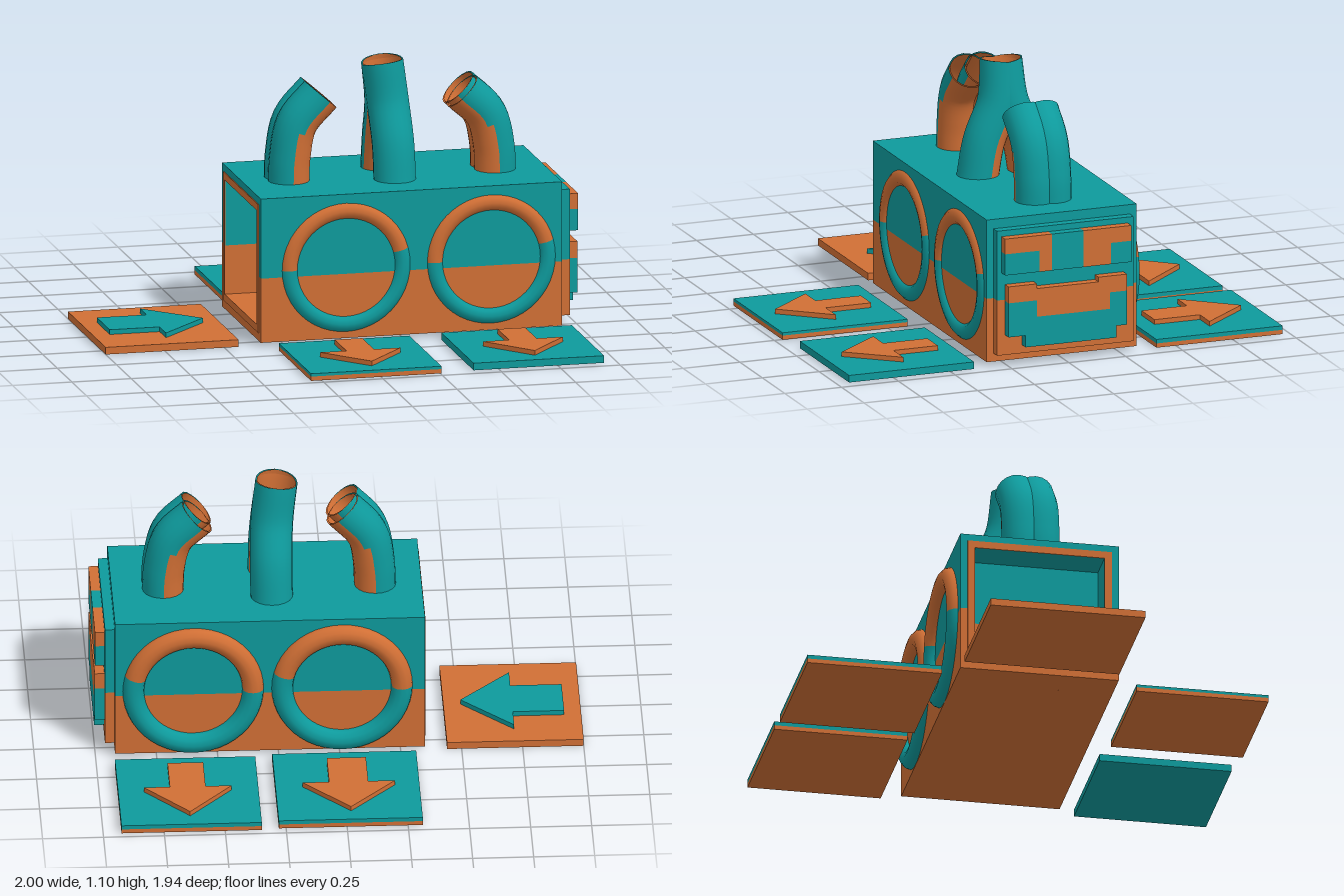
import * as THREE from 'three';

const SPLIT = 0.285; // height where the two body colours meet

export function createModel() {
  const model = new THREE.Group();
  model.name = 'machine';
  const teal = new THREE.MeshStandardMaterial({ color: 0x0e9a9c, side: THREE.DoubleSide });
  teal.name = 'teal';
  const orange = new THREE.MeshStandardMaterial({ color: 0xd06f35, side: THREE.DoubleSide });
  orange.name = 'orange';

  const add = (name, geometry, material) => {
    const mesh = new THREE.Mesh(geometry, material);
    mesh.name = name;
    model.add(mesh);
    return mesh;
  };
  // Box given by its two corners
  const box = (name, mat, x0, x1, y0, y1, z0, z1) => {
    const mesh = add(name, new THREE.BoxGeometry(x1 - x0, y1 - y0, z1 - z0), mat);
    mesh.position.set((x0 + x1) / 2, (y0 + y1) / 2, (z0 + z1) / 2);
    return mesh;
  };
  // Sorts faces into two colour groups; test(centre, normal) true means the second colour
  const paint = (geo, test) => {
    const p = geo.attributes.position, idx = geo.index.array, sides = [[], []];
    const v = [0, 1, 2].map(() => new THREE.Vector3());
    const c = new THREE.Vector3(), n = new THREE.Vector3(), tri = new THREE.Triangle();
    for (let i = 0; i < idx.length; i += 3) {
      v.forEach((q, k) => q.fromBufferAttribute(p, idx[i + k]));
      tri.set(v[0], v[1], v[2]);
      tri.getMidpoint(c);
      tri.getNormal(n);
      sides[test(c, n) ? 1 : 0].push(idx[i], idx[i + 1], idx[i + 2]);
    }
    geo.setIndex([...sides[0], ...sides[1]]);
    geo.clearGroups();
    geo.addGroup(0, sides[0].length, 0);
    geo.addGroup(sides[0].length, sides[1].length, 1);
    return geo;
  };

  // Body: orange lower half, teal upper half, with an open recess in the -x end
  const halves = [
    ['lower', orange, 0.015, SPLIT, 0.015, 0.08],
    ['upper', teal, SPLIT, 0.62, 0.56, 0.62],
  ];
  for (const [part, mat, y0, y1, edge0, edge1] of halves) {
    box(part + 'Body', mat, -0.21, 0.92, y0, y1, -0.33, 0.33);
    box(part + 'RecessEdge', mat, -0.35, -0.21, edge0, edge1, -0.27, 0.27);
    for (const s of [-1, 1]) {
      box(part + 'RecessWall', mat, -0.35, -0.21, y0, y1, Math.min(s * 0.27, s * 0.33), Math.max(s * 0.27, s * 0.33));
    }
    box(part + 'EndPlate', mat, 0.92, 0.96, Math.max(y0, 0.05), Math.min(y1, 0.58), -0.3, 0.3);
  }
  // Thin orange trim around the recess
  for (const s of [-1, 1]) {
    box('recessTrimSide', orange, -0.354, -0.35, 0.05, 0.59, s * 0.285 - 0.015, s * 0.285 + 0.015);
  }
  box('recessTrimTop', orange, -0.354, -0.35, 0.56, 0.59, -0.27, 0.27);
  box('recessTrimBottom', orange, -0.354, -0.35, 0.05, 0.08, -0.27, 0.27);

  // Blocky panels on the +x end: [colour, y0, y1, z0, z1]
  const panels = [
    [orange, 0.49, 0.555, 0.13, 0.28],
    [teal, 0.4, 0.49, 0.13, 0.28],
    [orange, 0.4, 0.555, 0.075, 0.13],
    [teal, 0.4, 0.555, -0.065, 0.075],
    [orange, 0.4, 0.555, -0.185, -0.065],
    [orange, 0.49, 0.555, -0.275, -0.185],
    [teal, 0.4, 0.49, -0.275, -0.185],
    [orange, 0.28, 0.35, 0.14, 0.265],
    [orange, 0.21, 0.33, -0.13, 0.14],
    [orange, 0.28, 0.35, -0.255, -0.13],
    [orange, 0.21, 0.28, -0.18, -0.13],
    [teal, 0.135, 0.28, 0.14, 0.265],
    [teal, 0.135, 0.21, -0.18, 0.14],
    [teal, 0.135, 0.28, -0.255, -0.18],
    [teal, 0.085, 0.135, -0.21, 0.19],
  ];
  panels.forEach(([mat, ...r]) => box('endPanel', mat, 0.96, 1, ...r));

  // Round rims on the front and back walls
  const rims = [
    [0.01, 0.312, 0.31, 0.238, 0.038],
    [0.622, 0.312, 0.31, 0.238, 0.038],
    [-0.01, 0.305, -0.325, 0.245, 0.045],
    [0.6, 0.305, -0.325, 0.245, 0.045],
  ];
  for (const [x, y, z, radius, tube] of rims) {
    const geo = paint(new THREE.TorusGeometry(radius, tube, 12, 48), (c) => c.y > 0.035 + 0.13 * c.x);
    add(z > 0 ? 'frontRim' : 'backRim', geo, [teal, orange]).position.set(x, y, z);
  }

  // Open pipes, teal outside and orange inside; inward(c, n) marks the orange outer faces
  const pipe = (name, points, radius, inward) => {
    const curve = new THREE.CatmullRomCurve3(points.map((p) => new THREE.Vector3(...p)));
    add(name, paint(new THREE.TubeGeometry(curve, 16, radius, 20), inward), [teal, orange]);
    add(name + 'Lining', new THREE.TubeGeometry(curve, 16, radius * 0.93, 20), orange);
  };
  // Side pipes: overlapping twin tubes bending toward the middle
  for (const z of [-0.035, 0.035]) {
    pipe('rightPipe',
      [[-0.16, 0.6, z], [-0.155, 0.72, z], [-0.125, 0.86, z], [-0.025, 0.975, z]],
      0.085, (c, n) => n.x > 0.15);
    pipe('leftPipe',
      [[0.71, 0.6, z], [0.705, 0.72, z], [0.67, 0.855, z], [0.57, 0.955, z]],
      0.085, (c, n) => n.x < -0.15);
  }
  // Middle pipe: two legs that merge into one mouth
  for (const s of [-1, 1]) {
    pipe('middlePipe',
      [[0.268, 0.6, s * 0.115], [0.268, 0.76, s * 0.085], [0.262, 0.92, s * 0.02], [0.243, 1.09, 0]],
      0.087, (c, n) => n.z * s < -0.3 && c.y < 0.88);
  }

  // Ground tiles with raised arrows; shapes are drawn in x and -z, then laid flat
  const arrow = (mat, cx, cz, angle, length, shaft, head, headLength, y) => {
    const t = length / 2, k = t - headLength;
    const shape = new THREE.Shape([
      [-shaft, -t], [shaft, -t], [shaft, k], [head, k], [0, t], [-head, k], [-shaft, k],
    ].map((p) => new THREE.Vector2(...p)));
    const geo = new THREE.ExtrudeGeometry(shape, { depth: 0.02, bevelEnabled: false });
    geo.rotateX(-Math.PI / 2);
    const mesh = add('arrow', geo, mat);
    mesh.position.set(cx, y, cz);
    mesh.rotation.y = angle;
  };
  // Tile rows: base colour, top colour, top height, x0, x1, z0, z1
  const tiles = [
    [orange, teal, 0.035, -0.31, 0.28, -0.96, -0.4],
    [orange, teal, 0.035, 0.35, 0.925, -0.97, -0.415],
    [orange, teal, 0.03, -0.295, 0.255, 0.415, 0.965],
    [teal, teal, 0.03, 0.395, 0.945, 0.395, 0.945],
    [orange, orange, 0.03, -1, -0.44, -0.33, 0.315],
  ];
  for (const [base, top, h, x0, x1, z0, z1] of tiles) {
    box('tileBase', base, x0, x1, 0, 0.018, z0, z1);
    box('tileTop', top, x0, x1, 0.018, h, z0, z1);
  }
  arrow(orange, -0.02, -0.685, 0, 0.41, 0.08, 0.19, 0.21, 0.035);
  arrow(orange, 0.64, -0.695, 0, 0.41, 0.073, 0.18, 0.21, 0.035);
  arrow(orange, -0.02, 0.69, Math.PI, 0.4, 0.058, 0.17, 0.2, 0.03);
  arrow(orange, 0.672, 0.67, Math.PI, 0.4, 0.058, 0.168, 0.205, 0.03);
  arrow(teal, -0.72, -0.01, -Math.PI / 2, 0.42, 0.11, 0.22, 0.21, 0.03);

  return model;
}
